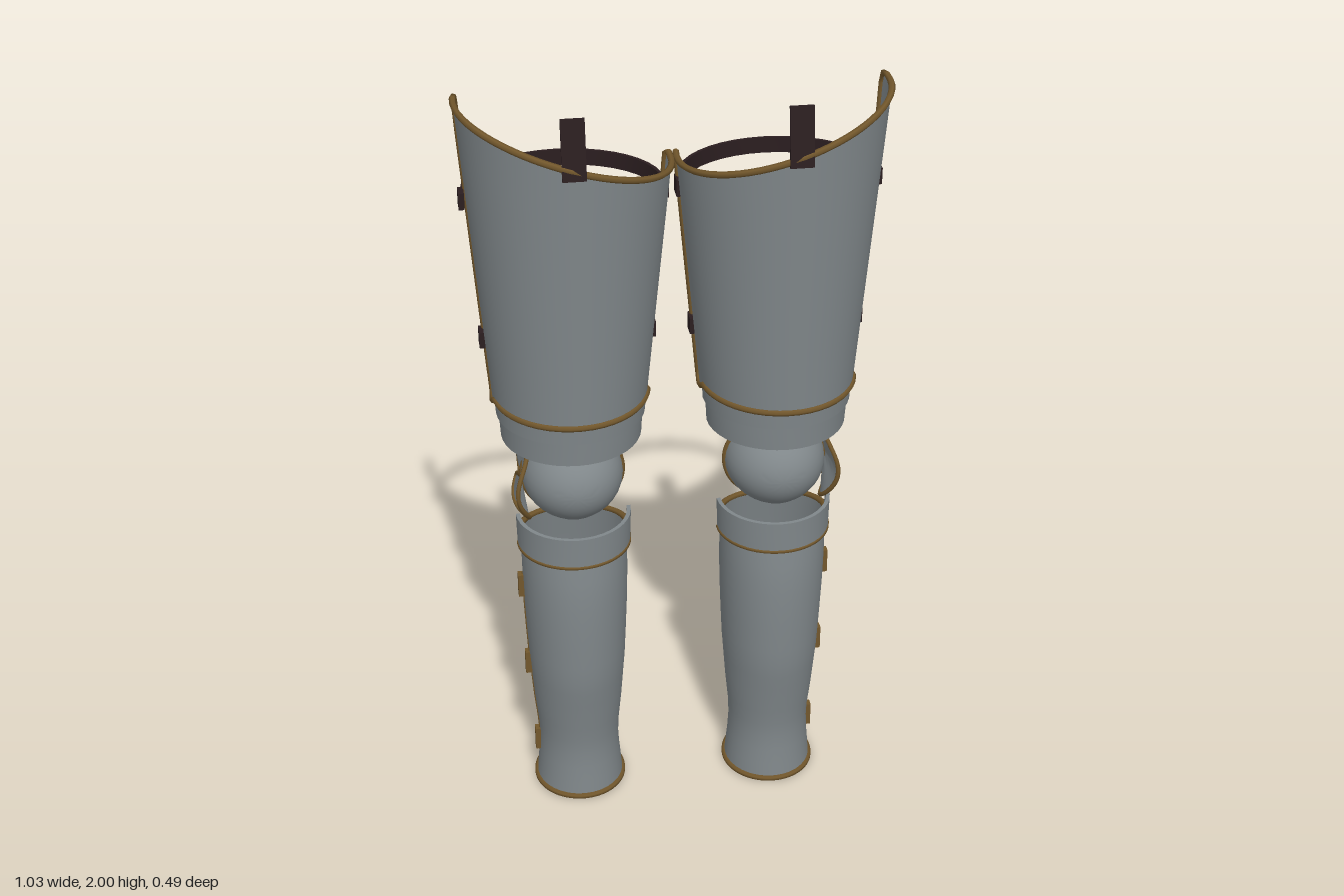
import * as THREE from 'three';
import { toCreasedNormals } from 'three/addons/utils/BufferGeometryUtils.js';
import { ParametricGeometry } from 'three/addons/geometries/ParametricGeometry.js';

const material = (name, color) =>
  Object.assign(new THREE.MeshStandardMaterial({ color, side: THREE.DoubleSide }), { name });
const V = (x, y, z) => new THREE.Vector3(x, y, z);
const HALF = Math.PI / 2;

export function createModel() {
  const steel = material('steel', 0x80878a);
  const brass = material('brass trim', 0x72572c);
  const leather = material('dark leather', 0x2b1e20);

  function mesh(parent, name, geometry, mat) {
    const m = new THREE.Mesh(geometry, mat);
    m.name = name;
    parent.add(m);
    return m;
  }

  // curved plate from a rule (u, v) -> point
  function plate(parent, name, rule, nu, nv) {
    const geo = new ParametricGeometry((u, v, target) => target.copy(rule(u, v)), nu, nv);
    return mesh(parent, name, toCreasedNormals(geo, 0.5), steel);
  }

  // rounded edge that follows a path
  function trim(parent, name, points, closed = false, radius = 0.008) {
    const path = new THREE.CatmullRomCurve3(points, closed, 'centripetal');
    return mesh(parent, name, new THREE.TubeGeometry(path, points.length * 2, radius, 6, closed), brass);
  }

  // part of a ring with a rectangular section; angle 0 is the front
  function band(parent, name, mat, rIn, rLow, rHigh, y0, y1, start, length) {
    const t = rLow - rIn;
    const profile = [[rIn, y0], [rLow, y0], [rHigh, y1], [rHigh - t, y1], [rIn, y0]]
      .map(([r, y]) => new THREE.Vector2(r, y));
    const geo = new THREE.LatheGeometry(profile, 20, start, length);
    return mesh(parent, name, toCreasedNormals(geo, 0.5), mat);
  }

  function box(parent, name, mat, size, at) {
    const m = mesh(parent, name, new THREE.BoxGeometry(...size), mat);
    m.position.set(...at);
    return m;
  }

  const samples = (n, fn) => Array.from({ length: n + 1 }, (_, i) => fn(i / n));

  // thigh guard: open at the back, top edge rising to the outer side
  const thighPoint = (u, v) => {
    const a = (u * 2 - 1) * (HALF + 0.18);
    const s = Math.sin(a), c = Math.cos(a);
    const rx = 0.19 + 0.06 * v, rz = 0.2 + 0.036 * v;
    const low = c < 0 ? 1.18 : 1.2;
    const high = 1.88 + 0.083 * s;
    return V(rx * s, low + (high - low) * v, c < 0 ? c * 0.235 : c * rz);
  };

  // greave: width, front depth and back depth at even heights
  const greaveSizes = new THREE.CatmullRomCurve3([
    V(0.115, 0.12, 0.125), V(0.105, 0.112, 0.112), V(0.115, 0.128, 0.14),
    V(0.125, 0.148, 0.168), V(0.131, 0.152, 0.172), V(0.135, 0.15, 0.155),
    V(0.135, 0.135, 0.132)]);
  const greavePoint = (u, v) => {
    const size = greaveSizes.getPoint(v);
    const a = u * Math.PI * 2, c = Math.cos(a);
    const z = c * (c > 0 ? size.y : size.z);
    const top = 0.8 + 0.2 * Math.min(z, 0);
    return V(size.x * Math.sin(a), 0.01 + v * (top - 0.01), z);
  };

  // knee cap: bulging shell, its rim notched forward at top and bottom
  const kneePoint = (u, v) => {
    const a = u * Math.PI * 2, b = v * HALF;
    const x = Math.sin(b) * Math.cos(a);
    const notch = 0.036 * Math.max(0, 1 - Math.abs(Math.cos(a)) / 0.45) * v ** 5;
    return V(0.127 * x, 0.962 + 0.116 * Math.sin(b) * Math.sin(a), 0.14 * Math.cos(b) + notch);
  };

  // knee wing: fluted fan with a wedge missing at the back
  const wingPoint = (u, v) => {
    const a = (u * 2 - 1) * (Math.PI - 0.58);
    return V(0.13 + 0.015 * v * Math.cos(3 * a), 0.96 + 0.115 * v * Math.sin(a),
      -0.012 + 0.115 * v * Math.cos(a));
  };

  function buildLeg(name) {
    const leg = new THREE.Group();
    leg.name = name;

    plate(leg, 'thighGuard', thighPoint, 24, 6);
    trim(leg, 'thighTrim', [
      ...samples(20, t => thighPoint(t, 0)), ...samples(8, t => thighPoint(1, t)).slice(1),
      ...samples(20, t => thighPoint(1 - t, 1)).slice(1),
      ...samples(8, t => thighPoint(0, 1 - t)).slice(1, -1)], true);

    // overlapping half rings above and below the knee
    band(leg, 'upperLame', steel, 0.168, 0.184, 0.188, 1.145, 1.21, -HALF, Math.PI);
    band(leg, 'lowerLame', steel, 0.158, 0.174, 0.178, 1.08, 1.15, -HALF, Math.PI);
    band(leg, 'shinLame', steel, 0.134, 0.144, 0.146, 0.76, 0.845, -HALF, Math.PI);
    trim(leg, 'shinLameTrim', samples(16, t => {
      const a = (t - 0.5) * Math.PI;
      return V(0.141 * Math.sin(a), 0.76, 0.141 * Math.cos(a));
    }), false, 0.006);

    plate(leg, 'kneeCap', kneePoint, 32, 12);
    trim(leg, 'kneeCapTrim', samples(39, t => kneePoint(t * 39 / 40, 1)), true, 0.007);
    plate(leg, 'kneeWing', wingPoint, 32, 4);
    trim(leg, 'kneeWingTrim',
      [wingPoint(0, 0), ...samples(28, t => wingPoint(t, 1))], true, 0.006);

    plate(leg, 'greave', greavePoint, 32, 18);
    for (const [part, v] of [['greaveTopTrim', 1], ['greaveBottomTrim', 0]])
      trim(leg, part, samples(31, t => greavePoint(t * 31 / 32, v)), true);

    // outer seam and hinges of the greave
    trim(leg, 'greaveSeam', samples(10, t => greavePoint(0.25, 0.1 + 0.73 * t)), false, 0.003);
    for (const y of [0.13, 0.385, 0.63]) {
      const p = greavePoint(0.25, y / 0.8);
      box(leg, 'hinge', brass, [0.018, 0.065, 0.022], [p.x + 0.004, y, 0]);
    }

    // straps round the back of the thigh, with buckles at their ends
    for (const [y, rx, rz] of [[1.71, 0.241, 0.205], [1.34, 0.208, 0.18]]) {
      const strap = band(leg, 'thighStrap', leather, 0.965, 1, 1, y - 0.02, y + 0.02, HALF, Math.PI);
      strap.scale.set(rx, 1, rz);
      strap.position.z = -0.036;
      for (const side of [-1, 1])
        box(leg, 'buckle', leather, [0.014, 0.042, 0.04], [side * rx, y, -0.032]);
    }

    // hanging strap at the front
    const hanger = box(leg, 'hangerStrap', leather, [0.055, 0.142, 0.008], [0, 1.93, 0.229]);
    hanger.rotation.x = -0.18;
    return leg;
  }

  const model = new THREE.Group();
  model.name = 'legArmour';
  const left = buildLeg('leftLeg');
  const right = buildLeg('rightLeg');
  left.position.x = 0.257;
  right.position.x = -0.257;
  right.scale.x = -1;
  model.add(left, right);
  return model;
}
